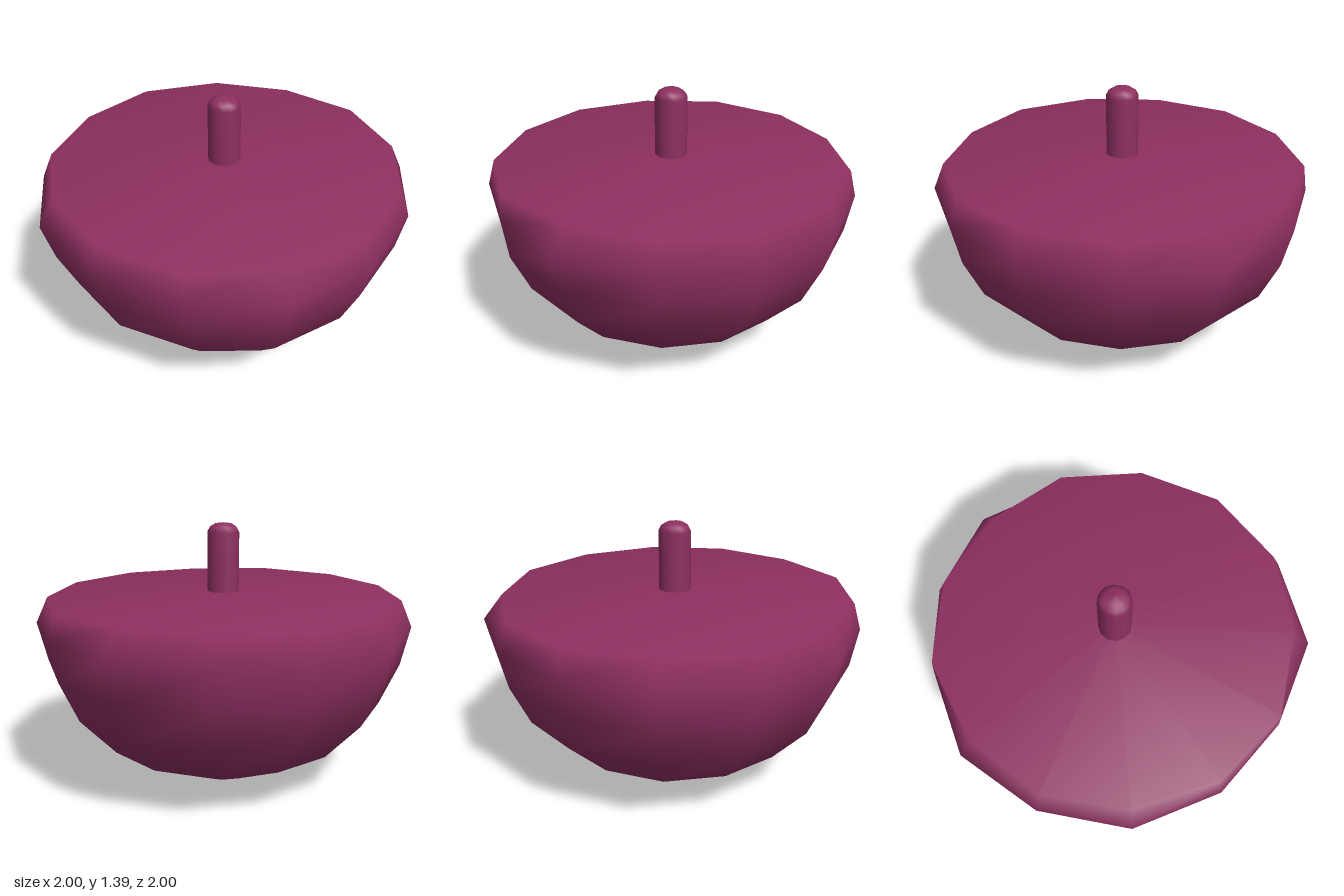
import * as THREE from 'three';

const plum = new THREE.MeshStandardMaterial({ color: 0x8e3060 });
plum.name = 'plum';

const SIDES = 13;
// Slight hand-cut unevenness of the widest ring, starting at the model's right
const wobble = [1.02, 1.006, 1.02, 0.98, 1.006, 1.04, 0.99, 1.01, 1.0, 1.006, 1.037, 0.977, 0.993];

// Closed smooth solid from stacked rings [radius, y, wobble amount]
function ringSolid(rings, bottomY, topY) {
  const pos = [], idx = [];
  for (const [r, y, amount] of rings) {
    for (let i = 0; i < SIDES; i++) {
      const a = Math.PI + (i / SIDES) * Math.PI * 2;
      const k = r * (1 + (wobble[i] - 1) * amount);
      pos.push(Math.cos(a) * k, y, Math.sin(a) * k);
    }
  }
  const bottom = pos.length / 3, top = bottom + 1;
  pos.push(0, bottomY, 0, 0, topY, 0);
  const last = (rings.length - 1) * SIDES;
  for (let i = 0; i < SIDES; i++) {
    const n = (i + 1) % SIDES;
    for (let j = 0; j < last; j += SIDES) {
      const a = j + i, b = j + SIDES + i, c = j + n, d = j + SIDES + n;
      idx.push(a, b, c, b, d, c);
    }
    idx.push(bottom, i, n, top, last + n, last + i);
  }
  const g = new THREE.BufferGeometry();
  g.setAttribute('position', new THREE.Float32BufferAttribute(pos, 3));
  g.setIndex(idx);
  g.computeVertexNormals();
  return g;
}

export function createModel() {
  const group = new THREE.Group();
  group.name = 'halfRoundWithStem';

  // Faceted half-round body with a very shallow cone on top
  const body = new THREE.Mesh(ringSolid([
    [0.2, 0, 0], [0.66, 0.22, 0.3], [0.855, 0.43, 0.3],
    [0.955, 0.65, 0.3], [1, 0.86, 1], [0.95, 1, -0.5],
  ], 0, 1.027), plum);
  body.name = 'body';

  // Upright peg with a rounded tip
  const profile = [[0.087, 0.9], [0.087, 1.34], [0.072, 1.367], [0.045, 1.384], [0, 1.39]]
    .map(([r, y]) => new THREE.Vector2(r, y));
  const stem = new THREE.Mesh(new THREE.LatheGeometry(profile, 12), plum);
  stem.name = 'stem';

  group.add(body, stem);
  for (const part of group.children) part.position.set(0.02, 0, -0.03);
  return group;
}
